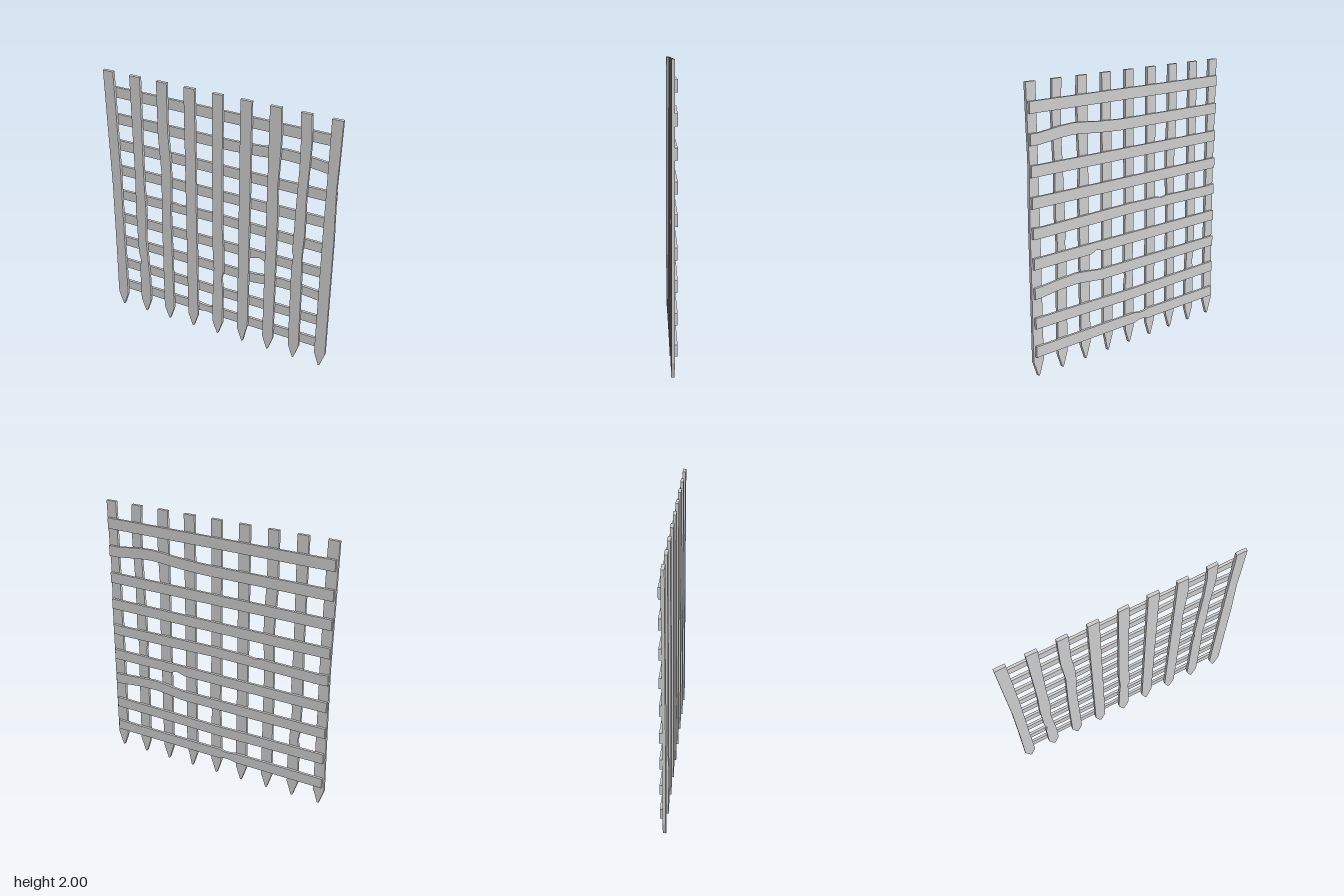
import * as THREE from 'three';

const material = new THREE.MeshStandardMaterial({ color: 0xcccccc, flatShading: true });

// Flat board cut from an outline, spanning z0 to z1
function board(name, points, z0, z1) {
  const shape = new THREE.Shape(points.map(([x, y]) => new THREE.Vector2(x, y)));
  const geometry = new THREE.ExtrudeGeometry(shape, { depth: z1 - z0, bevelEnabled: false });
  geometry.translate(0, 0, z0);
  const mesh = new THREE.Mesh(geometry, material);
  mesh.name = name;
  return mesh;
}

// Worn edges of each slat, top to bottom: [y, offset from the slat centre]
const slatEdges = [
  { left: [[2, -0.04], [1.6, -0.035], [1.1, -0.028], [0.6, -0.033]],
    right: [[2, 0.038], [1.6, 0.043], [1.2, 0.046], [0.7, 0.042]] },
  { left: [[2, -0.04], [1.2, -0.038], [0.9, -0.047], [0.55, -0.042], [0.47, -0.027], [0.42, -0.04]],
    right: [[2, 0.04], [1.2, 0.033], [0.9, 0.038], [0.7, 0.024], [0.5, 0.034], [0.3, 0.042]] },
  { left: [[2, -0.04], [1.6, -0.042], [1.3, -0.025], [1.1, -0.03], [0.8, -0.037]],
    right: [[2, 0.038], [1.65, 0.035], [1.4, 0.05], [1.2, 0.05], [1.0, 0.038]] },
  {},
  { left: [[2, -0.038], [0.8, -0.038], [0.6, -0.028], [0.4, -0.037]],
    right: [[2, 0.038], [1, 0.038], [0.75, 0.047], [0.58, 0.047], [0.52, 0.033], [0.45, 0.042]] },
  { right: [[2, 0.04], [0.16, 0.042], [0.09, 0.024], [0.05, 0.016]] },
  { right: [[2, 0.038], [1.8, 0.047], [1.6, 0.042], [1.4, 0.033], [1.2, 0.042]] },
  { left: [[2, -0.038], [1.85, -0.027], [1.6, -0.026], [1.3, -0.036], [1, -0.044], [0.95, -0.048],
      [0.9, -0.037], [0.8, -0.046]],
    right: [[2, 0.038], [1.8, 0.047], [1.65, 0.043], [1.4, 0.033], [1.1, 0.037], [0.9, 0.026], [0.7, 0.033]] },
  { left: [[2, -0.037], [1.1, -0.042]],
    right: [[2, 0.038], [1.7, 0.033], [1.5, 0.028], [1.1, 0.038]] },
];

// Bent and chipped rails: height offsets [x, dy] of the top and bottom edges
const bend = [[0.1, 0], [0.3, 0.01], [0.42, 0.022], [0.5, 0.027], [0.6, 0.022], [0.78, 0]];
const railEdges = [
  { top: [[-0.17, 0], [-0.12, -0.01], [-0.08, -0.01], [-0.04, 0]],
    bottom: [[-0.17, 0], [-0.12, 0.012], [-0.08, 0.012], [-0.04, 0]] },
  { top: [[-0.5, -0.003], [0, -0.01], [0.4, -0.004]],
    bottom: [[-0.5, -0.003], [0, -0.01], [0.4, -0.004]] },
  { top: [[0.28, 0], [0.4, 0.015], [0.5, 0.025], [0.65, 0.016], [0.8, 0.003]],
    bottom: [[0.28, 0], [0.4, 0.015], [0.5, 0.025], [0.65, 0.02], [0.8, 0.002]] },
  { bottom: [[0.25, 0], [0.32, 0.022], [0.37, 0]] },
  { top: [[-0.78, -0.006], [-0.35, 0.002], [-0.3, -0.006], [-0.25, 0.004], [0, 0.008], [0.3, 0.003], [0.8, -0.006]],
    bottom: [[-0.78, -0.004], [-0.4, 0.003], [0, 0.01], [0.3, 0.003], [0.8, -0.004]] },
  {}, {},
  { top: bend, bottom: bend },
  {},
];

export function createModel() {
  const group = new THREE.Group();
  group.name = 'latticeGate';

  // Upright slats with pointed feet
  slatEdges.forEach(({ left = [[2, -0.04]], right = [[2, 0.04]] }, i) => {
    const cx = (i - 4) * 0.206;
    const foot = right[right.length - 1][0] > 0.11 ? [[0.11, 0.041]] : [];
    const outline = [
      ...left, [0.11, -0.041], [0, -0.005], [0, 0.005],
      ...[...right, ...foot].reverse(),
    ].map(([y, dx]) => [cx + dx, y]);
    group.add(board(`uprightSlat${i + 1}`, outline, -0.002, 0.02));
  });

  // Cross rails fixed behind the slats
  const railHeights = [0.185, 0.39, 0.6, 0.807, 1.017, 1.22, 1.428, 1.635, 1.84];
  railEdges.forEach(({ top = [], bottom = [] }, i) => {
    const y = railHeights[i], half = 0.039, end = 0.85;
    const outline = [
      [-end, y - half], ...bottom.map(([x, dy]) => [x, y - half + dy]), [end, y - half],
      [end, y + half], ...top.map(([x, dy]) => [x, y + half + dy]).reverse(), [-end, y + half],
    ];
    group.add(board(`crossRail${i + 1}`, outline, -0.02, -0.002));
  });
  return group;
}
